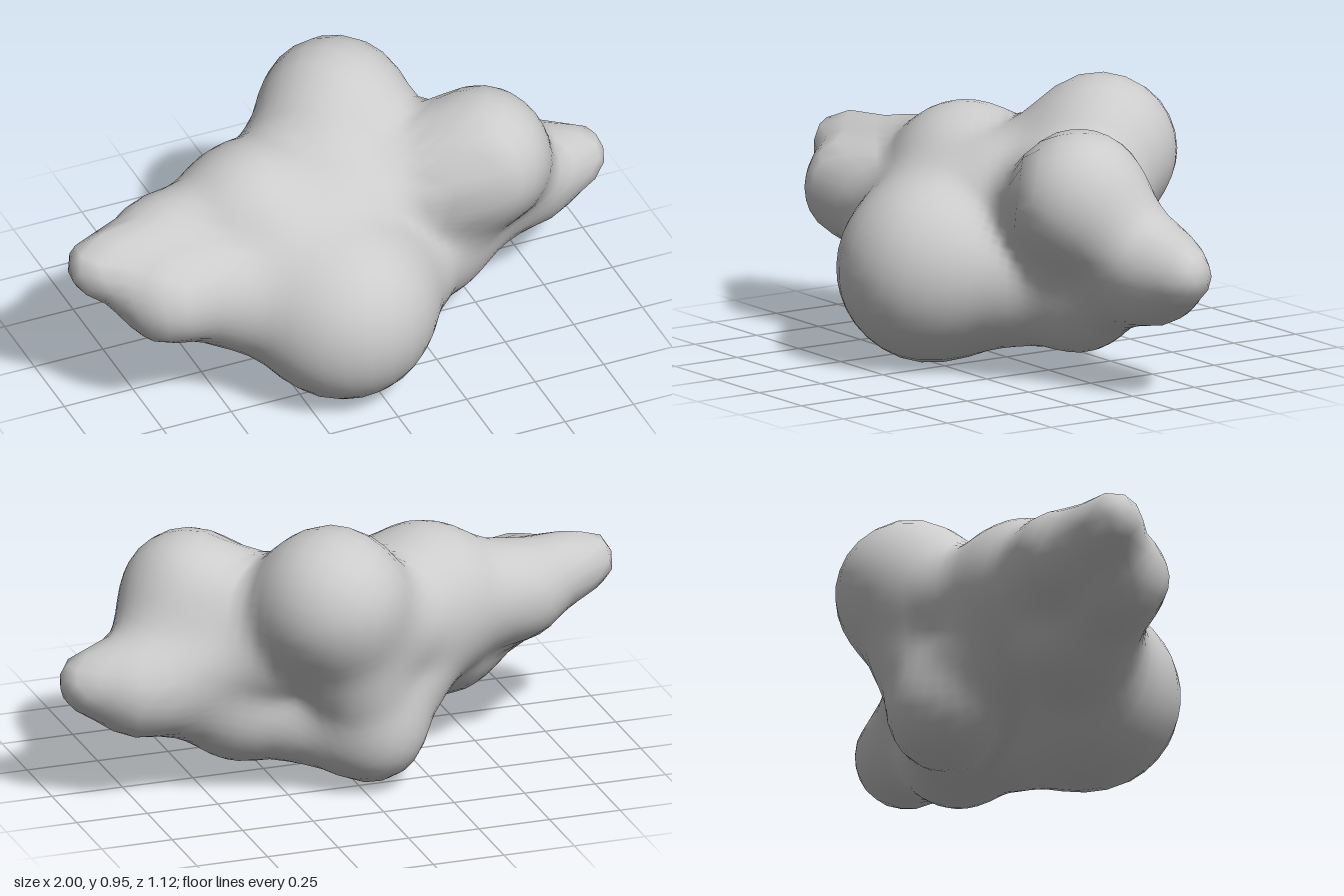
import * as THREE from 'three';
import { mergeVertices } from 'three/addons/utils/BufferGeometryUtils.js';

// Lobes of the lumpy body: x, y, z, radius
const LOBES = {
  core: [-0.08, 0.45, 0, 0.27],
  front: [-0.09, 0.32, 0.24, 0.292],
  backTop: [0.115, 0.695, -0.3, 0.23],
  backRidge: [-0.1, 0.56, -0.2, 0.19],
  backLow: [-0.04, 0.21, -0.24, 0.17],
  rightShoulder: [-0.3, 0.55, -0.04, 0.235],
  rightLow: [-0.4, 0.41, 0.08, 0.225],
  rightArmFront: [-0.68, 0.48, 0.14, 0.165],
  rightArmBack: [-0.63, 0.54, -0.03, 0.16],
  rightTip: [-0.89, 0.58, 0.045, 0.095],
  leftBody: [0.25, 0.52, -0.07, 0.23],
  leftShoulder: [0.495, 0.63, 0.045, 0.215],
  leftLow: [0.35, 0.285, -0.05, 0.18],
  leftElbow: [0.73, 0.405, -0.1, 0.148],
  leftTip: [0.887, 0.43, -0.09, 0.113],
};

// Tapered links that join the lobes
const LINKS = [
  ['core', 'front'], ['core', 'backTop'], ['core', 'rightShoulder'], ['core', 'leftBody'],
  ['front', 'rightLow'], ['front', 'rightShoulder'], ['front', 'leftLow'],
  ['rightLow', 'rightArmFront'], ['rightShoulder', 'rightArmBack'],
  ['rightShoulder', 'backLow'], ['rightShoulder', 'backRidge'], ['backRidge', 'backTop'],
  ['rightArmFront', 'rightTip'], ['rightArmBack', 'rightTip'],
  ['backTop', 'backLow'], ['backTop', 'leftBody'], ['backLow', 'leftLow'],
  ['leftBody', 'leftShoulder'], ['leftBody', 'leftElbow'],
  ['leftShoulder', 'leftLow'], ['leftShoulder', 'leftElbow'],
  ['leftLow', 'leftElbow'], ['leftElbow', 'leftTip'],
].map(([from, to]) => {
  const a = new THREE.Vector3(...LOBES[from]);
  const axis = new THREE.Vector3(...LOBES[to]).sub(a);
  return { a, axis, ra: LOBES[from][3], rb: LOBES[to][3] };
});
const BLEND = 0.06;

// Distance to the blended links
const offset = new THREE.Vector3();
function distance(p) {
  let d = 10;
  for (const { a, axis, ra, rb } of LINKS) {
    offset.subVectors(p, a);
    const t = THREE.MathUtils.clamp(offset.dot(axis) / axis.lengthSq(), 0, 1);
    const e = offset.addScaledVector(axis, -t).length() - THREE.MathUtils.lerp(ra, rb, t);
    const h = Math.max(BLEND - Math.abs(d - e), 0) / BLEND;
    d = Math.min(d, e) - h * h * BLEND * 0.25;
  }
  return d;
}

// Shrink-wrap a sphere onto the lobes, moving each vertex inward along its ray
function lumpyGeometry() {
  let geo = new THREE.IcosahedronGeometry(1, 12);
  geo.deleteAttribute('uv');
  geo.deleteAttribute('normal');
  geo = mergeVertices(geo, 1e-4);
  const pos = geo.attributes.position;
  const centre = new THREE.Vector3(0.04, 0.46, -0.03);
  const dir = new THREE.Vector3();
  const p = new THREE.Vector3();
  for (let i = 0; i < pos.count; i++) {
    dir.fromBufferAttribute(pos, i);
    dir.set(dir.x, dir.y * 0.55, dir.z * 0.6).normalize();
    let t = 1.4;
    for (let s = 0; s < 150; s++) {
      p.copy(centre).addScaledVector(dir, t);
      const d = distance(p);
      if (d < 0.0005) break;
      t -= d * 0.85;
    }
    pos.setXYZ(i, p.x, p.y, p.z);
  }
  geo.computeVertexNormals();
  return geo;
}

export function createModel() {
  const group = new THREE.Group();
  group.name = 'lumpyCloud';
  const material = new THREE.MeshStandardMaterial({ color: 0xcccccc });
  const body = new THREE.Mesh(lumpyGeometry(), material);
  body.name = 'cloudBody';
  group.add(body);
  return group;
}
